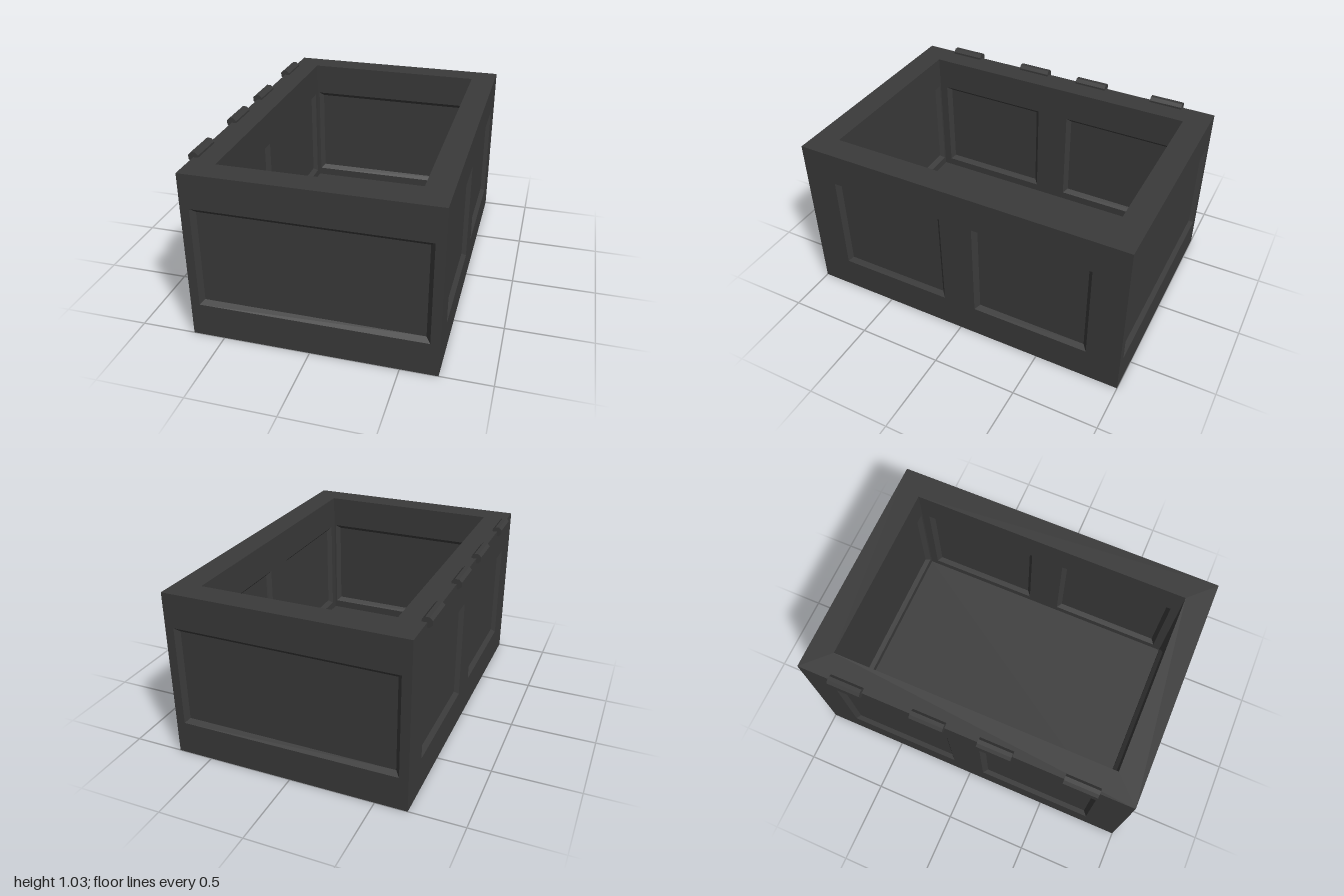
import * as THREE from 'three';
import { mergeGeometries } from 'three/addons/utils/BufferGeometryUtils.js';

const X0 = -0.685, X1 = 0.71, CX = (X0 + X1) / 2;
const HALF_W = (X1 - X0) / 2, HALF_L = 1, H = 1;
const WALL = 0.15, FLOOR = 0.15, INSET = 0.025;

const material = new THREE.MeshStandardMaterial({ color: 0x3a3a3a, flatShading: true });

function rectPoints([x0, y0, x1, y1]) {
  return [[x0, y0], [x1, y0], [x1, y1], [x0, y1]].map(([x, y]) => new THREE.Vector2(x, y));
}

// Flat face with rectangular openings
function sheet(rect, openings) {
  const shape = new THREE.Shape(rectPoints(rect));
  for (const o of openings) shape.holes.push(new THREE.Path(rectPoints(o).reverse()));
  const g = new THREE.ShapeGeometry(shape).toNonIndexed();
  g.deleteAttribute('uv');
  return g;
}

// Bevelled recess: four sloping sides and a back
function recess([x0, y0, x1, y1]) {
  const i = INSET;
  const outer = rectPoints([x0, y0, x1, y1]).map(p => [p.x, p.y, 0]);
  const inner = rectPoints([x0 + i, y0 + i, x1 - i, y1 - i]).map(p => [p.x, p.y, -i]);
  const v = [];
  const quad = (a, b, c, d) => v.push(...a, ...b, ...c, ...a, ...c, ...d);
  for (let k = 0; k < 4; k++) {
    const n = (k + 1) % 4;
    quad(outer[k], outer[n], inner[n], inner[k]);
  }
  quad(...inner);
  const g = new THREE.BufferGeometry();
  g.setAttribute('position', new THREE.Float32BufferAttribute(v, 3));
  g.computeVertexNormals();
  return g;
}

// Wall face with recessed panels, facing +z before it is turned
function wallFace(name, rect, panels, angle, distance) {
  const mesh = new THREE.Mesh(mergeGeometries([sheet(rect, panels), ...panels.map(recess)]), material);
  mesh.name = name;
  mesh.rotation.y = angle;
  mesh.position.set(Math.sin(angle) * distance, 0, Math.cos(angle) * distance);
  return mesh;
}

function flatFace(name, rect, openings, y, up) {
  const mesh = new THREE.Mesh(sheet(rect, openings), material);
  mesh.name = name;
  mesh.rotation.x = up ? -Math.PI / 2 : Math.PI / 2;
  mesh.position.y = y;
  return mesh;
}

export function createModel() {
  const model = new THREE.Group();
  model.name = 'chestBase';
  const body = new THREE.Group();
  body.name = 'body';
  body.position.x = CX;
  model.add(body);

  const inW = HALF_W - WALL, inL = HALF_L - WALL;
  const endPanel = [[-0.645, 0.2, 0.645, 0.8]];
  const innerEndPanel = [[-inW + 0.012, 0.2, inW - 0.012, 0.8]];
  const sidePanels = [[-0.8, 0.2, -0.1, 0.8], [0.1, 0.2, 0.8, 0.8]];

  // Outer and inner skins of the four walls
  ['front', 'left', 'back', 'right'].forEach((side, k) => {
    const a = k * Math.PI / 2, end = k % 2 === 0;
    const w = end ? HALF_W : HALF_L, iw = end ? inW : inL;
    body.add(wallFace(side + 'Outer', [-w, 0, w, H], end ? endPanel : sidePanels, a, end ? HALF_L : HALF_W));
    body.add(wallFace(side + 'Inner', [-iw, FLOOR, iw, H], end ? innerEndPanel : sidePanels, a + Math.PI, -(end ? inL : inW)));
  });
  // Inner skins face the cavity from the opposite wall's side
  body.children.filter(m => m.name.endsWith('Inner')).forEach(m => {
    const a = m.rotation.y - Math.PI;
    const d = Math.abs(Math.cos(a)) > 0.5 ? inL : inW;
    m.position.set(Math.sin(a) * d, 0, Math.cos(a) * d);
  });

  // Rim, underside and cavity floor
  const full = [-HALF_W, -HALF_L, HALF_W, HALF_L], cavity = [-inW, -inL, inW, inL];
  body.add(flatFace('rim', full, [cavity], H, true));
  body.add(flatFace('underside', full, [], 0, false));
  body.add(flatFace('floor', cavity, [], FLOOR, true));

  // Hinge knuckles along the right rim
  const knuckle = new THREE.CylinderGeometry(0.031, 0.031, 0.2, 8);
  knuckle.rotateY(Math.PI / 8).rotateX(Math.PI / 2);
  for (const z of [-0.7, -0.2, 0.2, 0.7]) {
    const hinge = new THREE.Mesh(knuckle, material);
    hinge.name = 'hingeKnuckle';
    hinge.position.set(X0, H, z);
    model.add(hinge);
  }
  return model;
}
